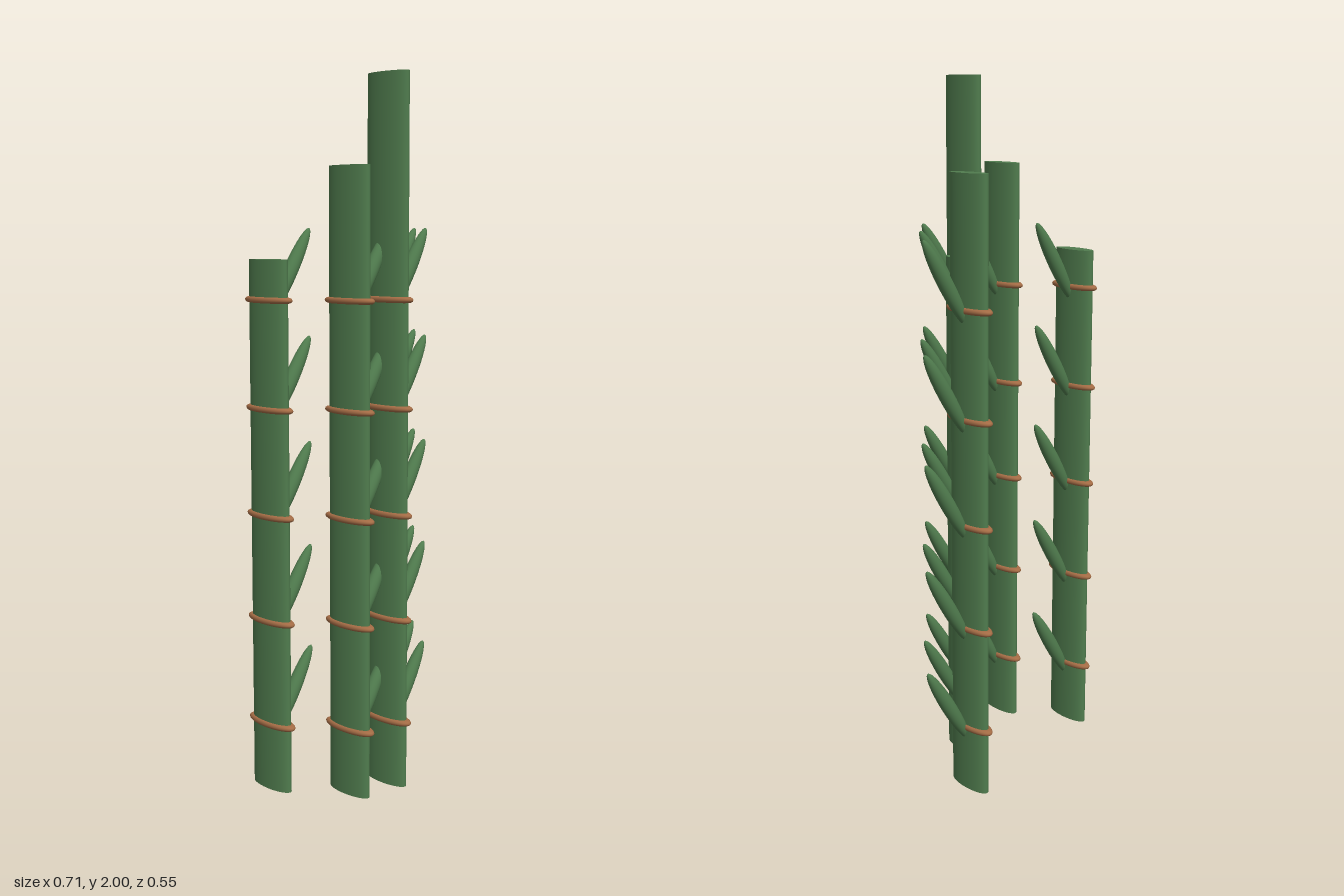
import * as THREE from 'three';

const RX = 0.0265;      // stalk half-width
const DEPTH = 2.85;     // stalks and rings are stretched front to back
const FIRST = 0.19, STEP = 0.3, JOINTS = 5;

// x, z, height of each stalk
const STALKS = [
  [-0.325, -0.018, 1.5],
  [-0.193, 0.164, 1.75],
  [-0.061, 0.179, 2.0],
  [0.07, 0.012, 1.5],
  [0.202, -0.181, 1.75],
];

export function createModel() {
  const green = new THREE.MeshStandardMaterial({ color: 0x507c4e });
  green.name = 'bamboo green';
  const brown = new THREE.MeshStandardMaterial({ color: 0xa46c45 });
  brown.name = 'joint brown';

  const stalkGeo = new THREE.CylinderGeometry(RX, RX, 1, 48);
  stalkGeo.translate(0, 0.5, 0).scale(1, 1, DEPTH);

  const ringGeo = new THREE.TorusGeometry(RX, 0.006, 12, 48);
  ringGeo.rotateX(Math.PI / 2).scale(1, 1.4, DEPTH);

  // slim ellipsoid leaning out to the model's left
  const leafGeo = new THREE.SphereGeometry(1, 24, 20);
  leafGeo.scale(0.021, 0.139, 0.0205).rotateZ(-0.54);

  const model = new THREE.Group();
  model.name = 'bambooCluster';

  const add = (parent, name, geo, mat, x, y, z) => {
    const mesh = new THREE.Mesh(geo, mat);
    mesh.name = name;
    mesh.position.set(x, y, z);
    parent.add(mesh);
    return mesh;
  };

  for (const [x, z, height] of STALKS) {
    const cane = new THREE.Group();
    cane.name = 'cane';
    cane.position.set(x, 0, z);
    add(cane, 'stalk', stalkGeo, green, 0, 0, 0).scale.y = height;
    for (let i = 0; i < JOINTS; i++) {
      const y = FIRST + i * STEP;
      add(cane, 'jointRing', ringGeo, brown, 0, y, 0);
      add(cane, 'leaf', leafGeo, green, 0.079, y + 0.075, 0);
    }
    model.add(cane);
  }
  return model;
}
